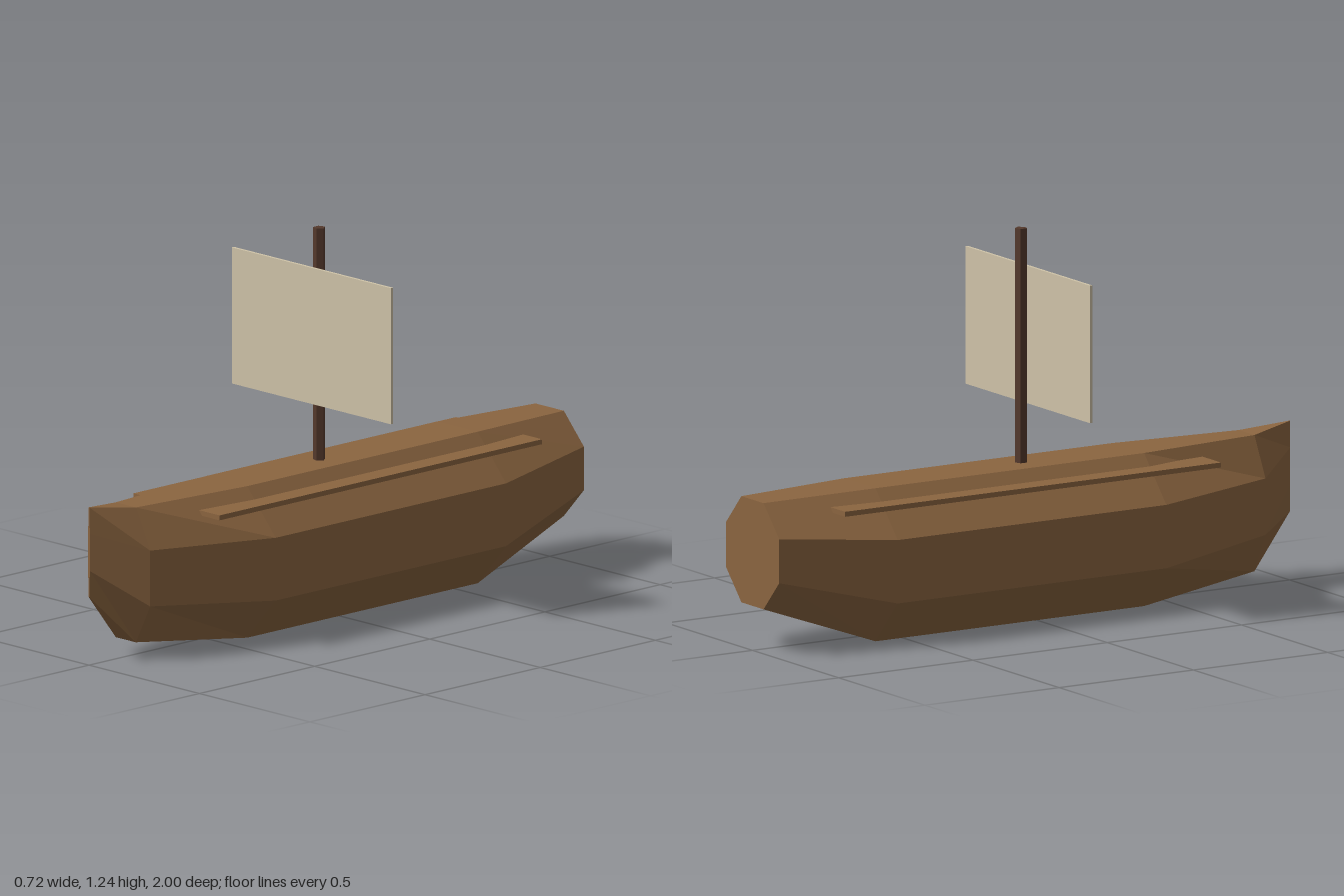
import * as THREE from 'three';

const paint = (name, color) => {
  const m = new THREE.MeshStandardMaterial({ color });
  m.name = name;
  return m;
};

// Hull stations: [z, half width, middle height, half height]
const STATIONS = [
  [-1, 0.155, 0.3125, 0.17],
  [-0.6, 0.22, 0.245, 0.245],
  [0.4, 0.22, 0.245, 0.245],
  [0.84, 0.11, 0.272, 0.218],
  [1, 0.004, 0.365, 0.145],
];

// Octagonal cross-sections joined from stern to bow
function hullGeometry() {
  const n = 8, pos = [], index = [];
  for (const [z, w, y, h] of STATIONS) {
    for (let i = 0; i < n; i++) {
      const a = ((i + 0.5) / n) * Math.PI * 2, r = 1 / Math.cos(Math.PI / n);
      pos.push(Math.cos(a) * r * w, y + Math.sin(a) * r * h, z);
    }
  }
  const last = (STATIONS.length - 1) * n;
  for (let s = 0; s < last; s += n) {
    for (let i = 0; i < n; i++) {
      const j = (i + 1) % n;
      index.push(s + i, s + j, s + n + j, s + i, s + n + j, s + n + i);
    }
  }
  // Stern and bow caps
  for (let i = 1; i < n - 1; i++) {
    index.push(0, i + 1, i);
    index.push(last, last + i, last + i + 1);
  }
  const indexed = new THREE.BufferGeometry();
  indexed.setAttribute('position', new THREE.Float32BufferAttribute(pos, 3));
  indexed.setIndex(index);
  const g = indexed.toNonIndexed();
  g.computeVertexNormals();
  return g;
}

export function createModel() {
  const group = new THREE.Group();
  group.name = 'sailingBoat';
  const wood = paint('hullWood', 0x8b6540);
  const darkWood = paint('mastWood', 0x54392c);
  const cloth = paint('sailCloth', 0xcfc3a8);
  wood.flatShading = true;
  darkWood.flatShading = true;

  const add = (name, geometry, material, x, y, z) => {
    const mesh = new THREE.Mesh(geometry, material);
    mesh.name = name;
    mesh.position.set(x, y, z);
    group.add(mesh);
  };

  add('hull', hullGeometry(), wood, 0, 0, 0);

  // Side planks, partly sunk into the hull
  for (const [name, side] of [['leftRail', 1], ['rightRail', -1]]) {
    add(name, new THREE.BoxGeometry(0.11, 0.016, 1.4), wood, side * 0.14, 0.445, -0.08);
  }

  // Five-sided mast with one edge towards the left
  const mast = new THREE.CylinderGeometry(0.02, 0.02, 0.8, 5, 1, false, Math.PI / 2);
  add('mast', mast, darkWood, 0, 0.84, 0);

  add('sail', new THREE.BoxGeometry(0.72, 0.44, 0.01), cloth, 0, 0.895, 0.03);
  return group;
}
